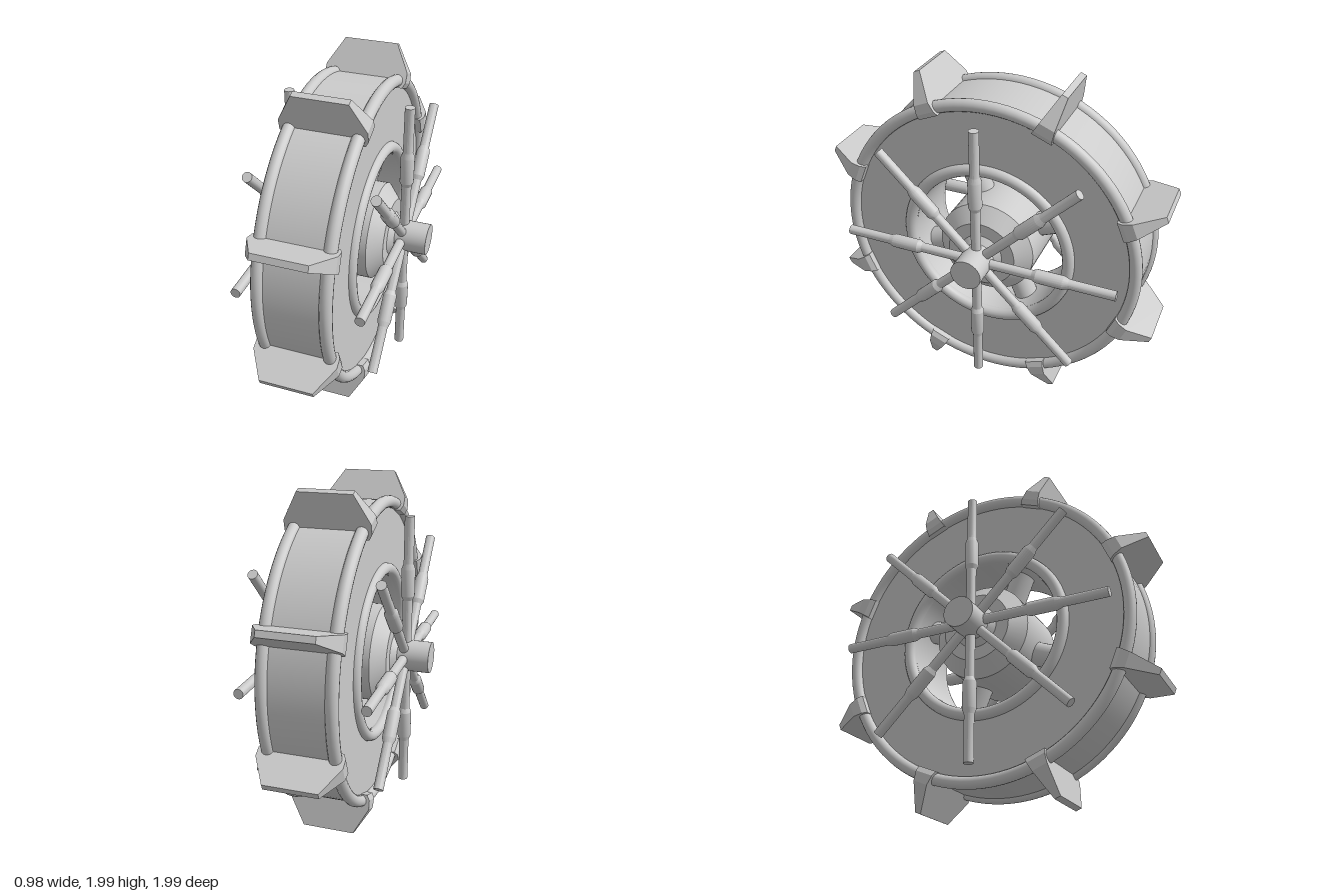
import * as THREE from 'three';
import { toCreasedNormals } from 'three/addons/utils/BufferGeometryUtils.js';

const material = new THREE.MeshStandardMaterial({ color: 0xcccccc });

function part(name, geometry, parent) {
  const mesh = new THREE.Mesh(geometry, material);
  mesh.name = name;
  parent.add(mesh);
  return mesh;
}

// Turned solid: [radius, position] pairs, made about the y axis
function turned(profile, segments) {
  const points = profile.map(([r, h]) => new THREE.Vector2(r, h));
  return toCreasedNormals(new THREE.LatheGeometry(points, segments), 0.35);
}

// Turned solid laid along the x axis
const turnedX = (profile, segments) => turned(profile, segments).rotateZ(-Math.PI / 2);

// Paddle: six-sided outline that thins towards its tip
function paddleGeometry() {
  const half = [[0.222, 0.83], [0.238, 0.86], [0.238, 0.915], [0.152, 1.07]];
  const outline = [...half, ...half.map(([x, y]) => [-x, y]).reverse()];
  const shape = new THREE.Shape(outline.map(([x, y]) => new THREE.Vector2(x, y)));
  const geometry = new THREE.ExtrudeGeometry(shape, { depth: 2, bevelEnabled: false });
  geometry.translate(0, 0, -1);
  const pos = geometry.attributes.position;
  for (let i = 0; i < pos.count; i++) {
    const t = (pos.getY(i) - 0.83) / 0.24;
    pos.setZ(i, pos.getZ(i) * THREE.MathUtils.lerp(0.06, 0.018, t));
  }
  geometry.computeVertexNormals();
  return geometry;
}

export function createModel() {
  const model = new THREE.Group();
  model.name = 'paddleWheel';
  const wheel = new THREE.Group();
  wheel.name = 'wheel';
  wheel.position.y = 1;
  model.add(wheel);

  // Drum with a central opening
  part('drum', turnedX([
    [0.46, -0.185], [0.88, -0.185], [0.88, 0.185], [0.46, 0.185], [0.46, -0.185],
  ], 96), wheel);

  // Round beads on the outer and inner edges of both faces
  for (const side of [-1, 1]) {
    for (const [name, radius] of [['outerRim', 0.87], ['innerRim', 0.49]]) {
      const rim = part(name, new THREE.TorusGeometry(radius, 0.035, 16, 96), wheel);
      rim.rotation.y = Math.PI / 2;
      rim.position.x = side * 0.185;
    }
  }

  // Hub and axle
  part('hub', turnedX([
    [0, -0.335], [0.06, -0.335], [0.125, -0.275], [0.2, -0.275], [0.285, -0.2],
    [0.285, 0.2], [0.2, 0.275], [0.125, 0.275], [0.06, 0.335], [0, 0.335],
  ], 48), wheel);
  part('axle', turnedX([[0, -0.49], [0.09, -0.49], [0.09, 0.49], [0, 0.49]], 32), wheel);

  // Four thick spokes joining the hub to the drum
  const spoke = new THREE.CylinderGeometry(0.07, 0.07, 0.3, 24).translate(0, 0.37, 0);
  for (let i = 0; i < 4; i++) {
    part('spoke', spoke, wheel).rotation.x = Math.PI / 8 + i * Math.PI / 2;
  }

  // Eight paddles around the drum and eight sleeved rods on each side
  const paddle = paddleGeometry();
  const rod = turned([
    [0, 0], [0.028, 0], [0.028, 0.335], [0.039, 0.36], [0.039, 0.515],
    [0.028, 0.545], [0.028, 0.81], [0, 0.81],
  ], 20);
  for (let i = 0; i < 8; i++) {
    const angle = i * Math.PI / 4;
    part('paddle', paddle, wheel).rotation.x = angle + Math.PI / 8;
    for (const side of [-1, 1]) {
      const mesh = part('rod', rod, wheel);
      mesh.position.x = side * 0.343;
      mesh.rotation.x = angle;
    }
  }
  return model;
}
